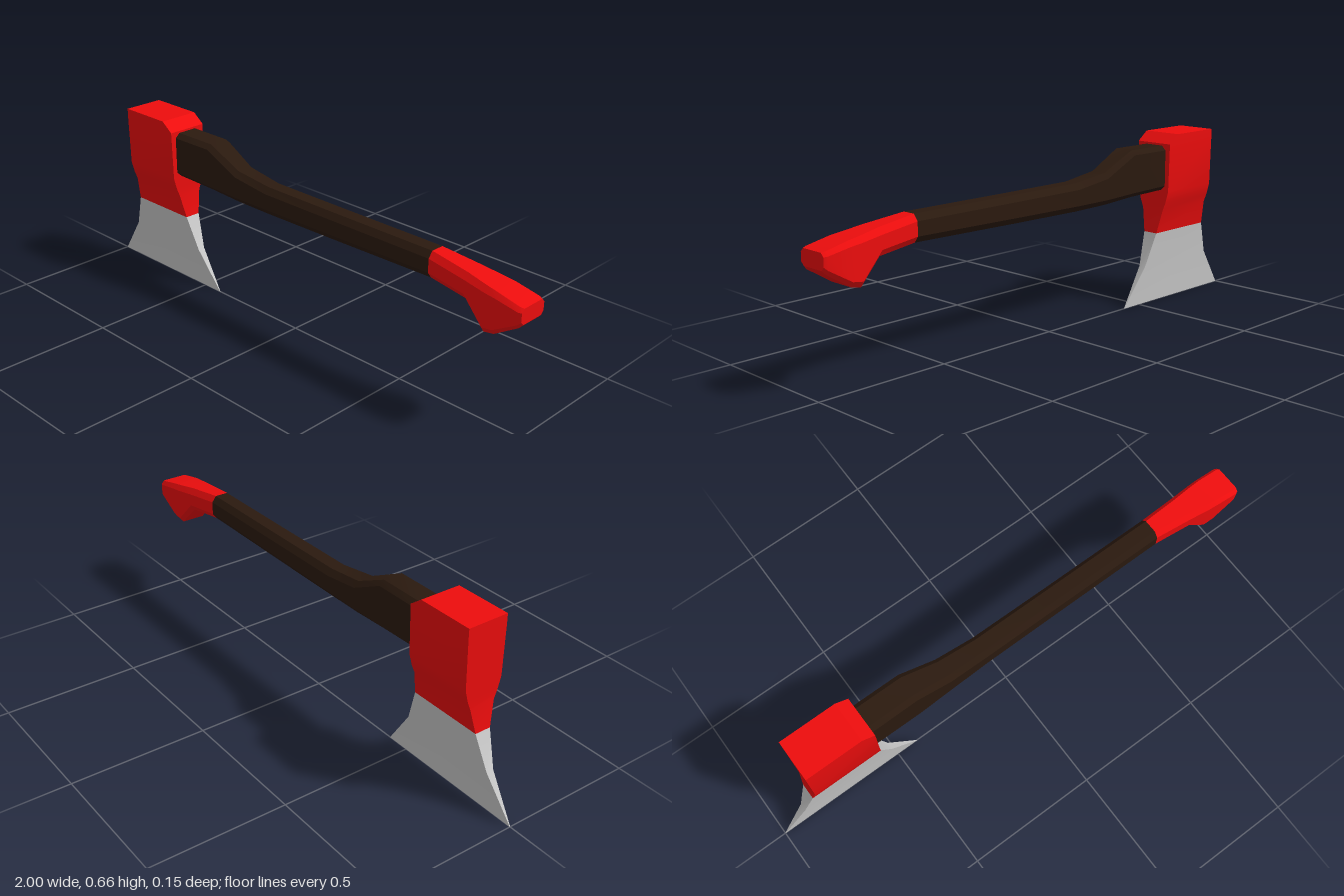
import * as THREE from 'three';
import { toCreasedNormals } from 'three/addons/utils/BufferGeometryUtils.js';

// Skin a list of rings (each turning right-handed around the loft axis) and cap both ends
function loft(rings, crease) {
  const n = rings[0].length;
  const index = [];
  for (let i = 0; i < rings.length - 1; i++) {
    for (let j = 0; j < n; j++) {
      const a = i * n + j, b = i * n + (j + 1) % n;
      index.push(a, b, b + n, a, b + n, a + n);
    }
  }
  const last = (rings.length - 1) * n;
  for (let j = 1; j < n - 1; j++) {
    index.push(0, j + 1, j);
    index.push(last, last + j, last + j + 1);
  }
  const geometry = new THREE.BufferGeometry();
  geometry.setAttribute('position', new THREE.Float32BufferAttribute(rings.flat(2), 3));
  geometry.setIndex(index);
  return toCreasedNormals(geometry, crease);
}

// Rectangular head section at height y
const headRing = ([y, x0, x1, h]) => [[x0, y, -h], [x0, y, h], [x1, y, h], [x1, y, -h]];

// Chamfered handle section at x; cy and cz are the chamfer sizes
const handleRing = ([x, y0, y1, h, cy, cz]) => [
  [x, y0 + cy, -h], [x, y1 - cy, -h], [x, y1, cz - h], [x, y1, h - cz],
  [x, y1 - cy, h], [x, y0 + cy, h], [x, y0, h - cz], [x, y0, cz - h],
];

export function createModel() {
  const group = new THREE.Group();
  const red = new THREE.MeshStandardMaterial({ color: 0xee0d0d });
  const wood = new THREE.MeshStandardMaterial({ color: 0x2b1a0f });
  const steel = new THREE.MeshStandardMaterial({ color: 0xcccccc });

  const add = (name, rings, material, crease = 0.5) => {
    const mesh = new THREE.Mesh(loft(rings, crease), material);
    mesh.name = name;
    group.add(mesh);
  };

  // Flared blade tapering to the cutting edge
  add('blade', [
    [0, -1, -0.415, 0.001],
    [0.15, -0.895, -0.52, 0.014],
    [0.278, -0.85, -0.565, 0.03],
  ].map(headRing), steel, 0.3);

  // Head body with a bevel on the handle side of the poll
  add('axeHead', [
    [0.278, -0.85, -0.565, 0.03],
    [0.37, -0.838, -0.578, 0.049],
    [0.4, -0.838, -0.578, 0.061],
    [0.445, -0.838, -0.578, 0.073],
    [0.628, -0.838, -0.578, 0.077],
    [0.663, -0.838, -0.625, 0.077],
  ].map(headRing), red);

  // Wooden handle with raised shoulder next to the head
  add('handle', [
    [-0.62, 0.45, 0.62, 0.056, 0.017, 0.018],
    [-0.4, 0.445, 0.621, 0.055, 0.017, 0.018],
    [-0.26, 0.434, 0.553, 0.048, 0.02, 0.018],
    [-0.11, 0.43, 0.533, 0.043, 0.022, 0.018],
    [0.2, 0.433, 0.532, 0.042, 0.022, 0.017],
    [0.632, 0.439, 0.532, 0.042, 0.022, 0.017],
  ].map(handleRing), wood);

  // Painted grip with the drooping end knob
  add('grip', [
    [0.632, 0.439, 0.532, 0.042, 0.022, 0.017],
    [0.78, 0.423, 0.514, 0.052, 0.022, 0.016],
    [0.86, 0.342, 0.501, 0.059, 0.02, 0.014],
    [0.9, 0.35, 0.495, 0.061, 0.018, 0.013],
    [0.988, 0.405, 0.476, 0.062, 0.014, 0.012],
    [1, 0.418, 0.473, 0.057, 0.012, 0.012],
  ].map(handleRing), red);

  return group;
}
